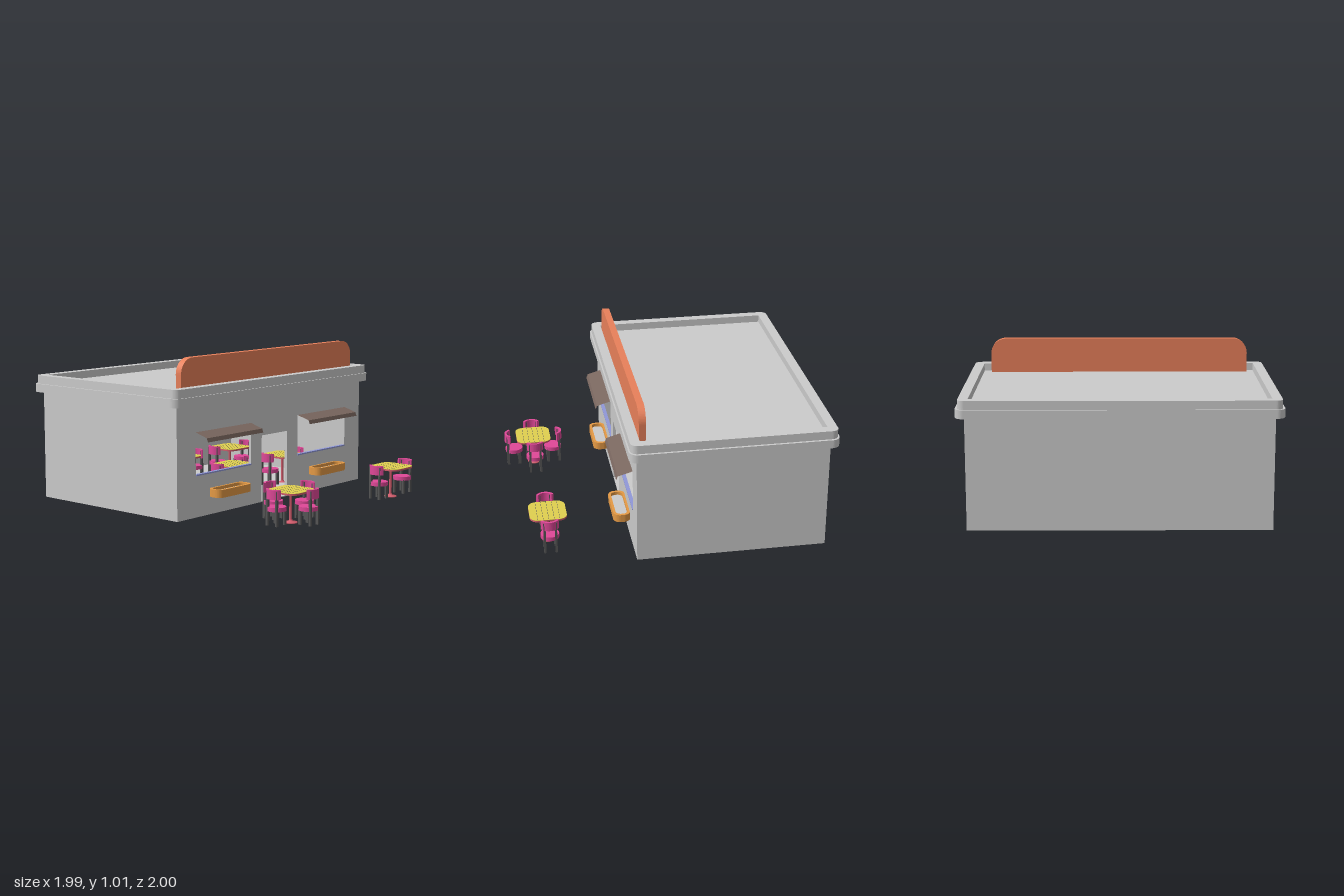
import * as THREE from 'three';

const mat = (color) => new THREE.MeshStandardMaterial({ color, side: THREE.DoubleSide });
const GREY = mat(0xcccccc), ORANGE = mat(0xe8805a), PINK = mat(0xe04898), YELLOW = mat(0xe0d050),
  RED = mat(0xd05c6c), BROWN = mat(0x7a675f), WOOD = mat(0xe59a45), BLUE = mat(0x9098d8), DARK = mat(0x555555);

function add(parent, name, geometry, material, x = 0, y = 0, z = 0) {
  const mesh = new THREE.Mesh(geometry, material);
  mesh.name = name;
  mesh.position.set(x, y, z);
  parent.add(mesh);
  return mesh;
}

// Box given by its minimum and maximum corners
function block(parent, name, material, [x0, y0, z0], [x1, y1, z1]) {
  return add(parent, name, new THREE.BoxGeometry(x1 - x0, y1 - y0, z1 - z0), material,
    (x0 + x1) / 2, (y0 + y1) / 2, (z0 + z1) / 2);
}

// Rounded rectangle centred on the origin
function roundRect(w, h, r, Type = THREE.Shape) {
  const s = new Type(), a = w / 2, b = h / 2;
  s.moveTo(-a + r, -b);
  s.lineTo(a - r, -b);
  s.absarc(a - r, -b + r, r, -Math.PI / 2, 0);
  s.lineTo(a, b - r);
  s.absarc(a - r, b - r, r, 0, Math.PI / 2);
  s.lineTo(-a + r, b);
  s.absarc(-a + r, b - r, r, Math.PI / 2, Math.PI);
  s.lineTo(-a, -b + r);
  s.absarc(-a + r, -b + r, r, Math.PI, Math.PI * 1.5);
  return s;
}

const extrude = (shape, depth) => new THREE.ExtrudeGeometry(shape, { depth, bevelEnabled: false, curveSegments: 8 });
// Flat shape extruded upward
const slab = (shape, h) => extrude(shape, h).rotateX(-Math.PI / 2);
// Shape drawn in (-z, y) and extruded along +x
const sidePanel = (shape, t) => extrude(shape, t).rotateY(Math.PI / 2);

function rectPath(x0, y0, x1, y1) {
  return new THREE.Path([[x0, y0], [x1, y0], [x1, y1], [x0, y1]].map((p) => new THREE.Vector2(...p)));
}

// Chair with its back toward local +z
function makeChair() {
  const chair = new THREE.Group();
  chair.name = 'chair';
  add(chair, 'seat', new THREE.CylinderGeometry(0.06, 0.06, 0.026, 20), PINK, 0, 0.112, 0);
  const arc = new THREE.Shape();
  const a0 = -Math.PI / 2 - 1.1, a1 = -Math.PI / 2 + 1.1;
  arc.absarc(0, 0, 0.064, a0, a1, false);
  arc.absarc(0, 0, 0.049, a1, a0, true);
  add(chair, 'backrest', slab(arc, 0.06), PINK, 0, 0.175, 0);
  for (const s of [-1, 1]) {
    block(chair, 'rearPost', DARK, [s * 0.036 - 0.007, 0.009, 0.035], [s * 0.036 + 0.007, 0.225, 0.052]);
    block(chair, 'frontLeg', DARK, [s * 0.036 - 0.007, 0.009, -0.045], [s * 0.036 + 0.007, 0.105, -0.025]);
  }
  return chair;
}

// Pedestal table with chairs at the given angles
function makeTableSet(name, x, y, z, angles) {
  const set = new THREE.Group();
  set.name = name;
  set.position.set(x, y, z);
  const profile = [[0, 0], [0.042, 0], [0.042, 0.006], [0.012, 0.014], [0.009, 0.025], [0.009, 0.185], [0.025, 0.198]];
  add(set, 'pedestal', new THREE.LatheGeometry(profile.map((p) => new THREE.Vector2(...p)), 16), RED);
  add(set, 'tableSlab', slab(roundRect(0.237, 0.237, 0.055), 0.011), RED, 0, 0.197, 0);
  add(set, 'tableTop', slab(roundRect(0.237, 0.237, 0.055), 0.002), YELLOW, 0, 0.208, 0);
  for (let i = -2; i <= 2; i++) {
    block(set, 'plankGap', DARK, [i * 0.035 - 0.001, 0.209, -0.112], [i * 0.035 + 0.001, 0.2105, 0.112]);
  }
  for (const a of angles) {
    const chair = makeChair();
    chair.position.set(Math.sin(a) * 0.137, 0, Math.cos(a) * 0.137);
    chair.rotation.y = a;
    set.add(chair);
  }
  return set;
}

export function createModel() {
  const model = new THREE.Group();
  model.name = 'restaurant';
  const cx = -0.33, x0 = -0.937, x1 = 0.278, zw = 0.945, t = 0.02;

  // Floor and plain walls
  block(model, 'floor', GREY, [x0, 0.005, -zw], [x1, 0.011, zw]);
  block(model, 'backWall', GREY, [x0, 0.005, -zw], [x0 + t, 0.72, zw]);
  for (const s of [-1, 1]) {
    const za = s * zw, zb = s * (zw - t);
    block(model, 'endWall', GREY, [x0 + t, 0.005, Math.min(za, zb)], [x1 - t, 0.72, Math.max(za, zb)]);
  }

  // Shop wall with door notch and two windows
  const wall = new THREE.Shape([[-zw, 0.005], [-0.135, 0.005], [-0.135, 0.45], [0.13, 0.45], [0.13, 0.005],
    [zw, 0.005], [zw, 0.72], [-zw, 0.72]].map((p) => new THREE.Vector2(...p)));
  wall.holes.push(rectPath(-0.775, 0.275, -0.243, 0.545), rectPath(0.243, 0.275, 0.775, 0.545));
  add(model, 'shopWall', sidePanel(wall, t), GREY, x1 - t, 0, 0);

  // Stepped cornice around a sunken roof
  const cornice = (name, w, d, r, y, h) => {
    const ring = roundRect(w, d, r);
    ring.holes.push(rectPath(-0.585, -0.922, 0.585, 0.922));
    add(model, name, slab(ring, h), GREY, cx, y, 0);
  };
  cornice('lowerCornice', 1.315, 2, 0.055, 0.72, 0.055);
  cornice('upperCornice', 1.295, 1.97, 0.045, 0.775, 0.055);
  block(model, 'roof', GREY, [x0 + 0.01, 0.72, -0.93], [x1 - 0.01, 0.78, 0.93]);

  // Roof signboard with rounded top corners
  const board = new THREE.Shape();
  board.moveTo(-0.875, 0.78);
  board.lineTo(0.87, 0.78);
  board.lineTo(0.87, 0.91);
  board.absarc(0.77, 0.91, 0.1, 0, Math.PI / 2);
  board.lineTo(-0.775, 1.01);
  board.absarc(-0.775, 0.91, 0.1, Math.PI / 2, Math.PI);
  add(model, 'signboard', sidePanel(board, 0.045), ORANGE, 0.207, 0, 0);

  // Awning, sill and planter at each window
  for (const s of [-1, 1]) {
    const z = s * 0.509;
    let awning = new THREE.PlaneGeometry(0.532, 1, 1, 2);
    const rows = [[x1, 0.545], [0.372, 0.517], [0.382, 0.492]], p = awning.attributes.position;
    for (let i = 0; i < p.count; i++) p.setXYZ(i, rows[i >> 1][0], rows[i >> 1][1], -p.getX(i));
    awning = awning.toNonIndexed();
    awning.computeVertexNormals();
    add(model, 'awning', awning, BROWN, 0, 0, z);
    block(model, 'windowSill', BLUE, [x1 - t, 0.268, z - 0.266], [x1 + 0.004, 0.277, z + 0.266]);

    const tray = roundRect(0.11, 0.322, 0.045);
    tray.holes.push(roundRect(0.076, 0.286, 0.034, THREE.Path));
    add(model, 'planterRim', slab(tray, 0.05), WOOD, 0.33, 0.125, z);
    add(model, 'planterBottom', slab(roundRect(0.11, 0.322, 0.045), 0.008), WOOD, 0.33, 0.124, z);
    add(model, 'planterFill', slab(roundRect(0.08, 0.29, 0.034), 0.022), GREY, 0.33, 0.132, z);
  }

  // Service counter with tilted screen
  block(model, 'counter', WOOD, [-0.917, 0.002, 0.5], [0, 0.27, 0.635]);
  add(model, 'counterScreen', new THREE.BoxGeometry(0.07, 0.055, 0.02), DARK, -0.12, 0.292, 0.592).rotation.x = -0.4;

  // Outdoor and indoor seating
  const pair = [0, Math.PI];
  model.add(makeTableSet('outdoorTableFour', 0.804, 0, 0.485, [0, Math.PI / 2, Math.PI, -Math.PI / 2]));
  model.add(makeTableSet('outdoorTableTwo', 0.804, 0, -0.592, pair));
  for (const x of [-0.045, -0.54]) {
    for (const z of [-0.48, 0.045]) model.add(makeTableSet('indoorTable', x, 0.003, z, pair));
  }
  return model;
}
